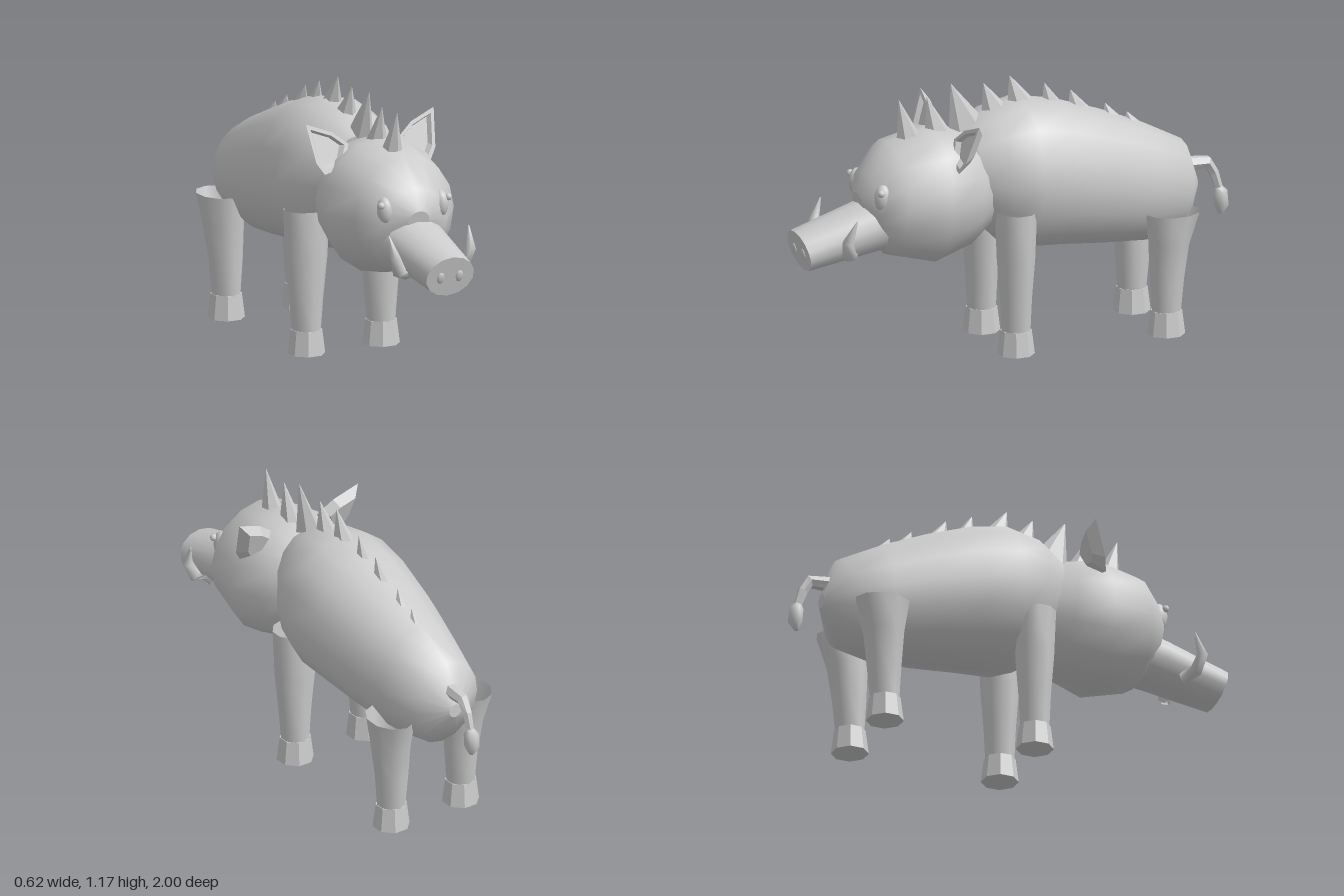
import * as THREE from 'three';

const V = (x, y, z) => new THREE.Vector3(x, y, z);
const smooth = new THREE.MeshStandardMaterial({ color: 0xcccccc, side: THREE.DoubleSide });
const flat = new THREE.MeshStandardMaterial({ color: 0xcccccc, side: THREE.DoubleSide, flatShading: true });

function build(positions, index) {
  const geo = new THREE.BufferGeometry();
  geo.setAttribute('position', new THREE.Float32BufferAttribute(positions, 3));
  geo.setIndex(index);
  geo.computeVertexNormals();
  return geo;
}

// Skin over elliptical rings [centre, u, v]; u x v points against the ring order.
function loft(rings, sides, capStart = false, capEnd = false) {
  const pos = [], idx = [];
  for (const [c, u, v] of rings) {
    for (let j = 0; j < sides; j++) {
      const a = (j / sides) * Math.PI * 2;
      const p = c.clone().addScaledVector(u, Math.sin(a)).addScaledVector(v, Math.cos(a));
      pos.push(p.x, p.y, p.z);
    }
  }
  for (let i = 0; i < rings.length - 1; i++) {
    for (let j = 0; j < sides; j++) {
      const k = (j + 1) % sides, a = i * sides, b = a + sides;
      idx.push(a + j, a + k, b + j, a + k, b + k, b + j);
    }
  }
  // caps use their own vertices so that their rims stay sharp
  const cap = (r, flip) => {
    const start = pos.length / 3;
    for (let j = 0; j < sides; j++) {
      const o = (r * sides + j) * 3;
      pos.push(pos[o], pos[o + 1], pos[o + 2]);
    }
    for (let j = 1; j < sides - 1; j++) {
      idx.push(start, start + (flip ? j : j + 1), start + (flip ? j + 1 : j));
    }
  };
  if (capStart) cap(0, false);
  if (capEnd) cap(rings.length - 1, true);
  return build(pos, idx);
}

// Ring of a trunk section, from its top and bottom points and half width.
const section = ([zt, yt, zb, yb, w]) =>
  [V(0, (yt + yb) / 2, (zt + zb) / 2), V(w, 0, 0), V(0, (yt - yb) / 2, (zt - zb) / 2)];

// Tapered tube through points with a radius at each.
function taper(points, radii, sides) {
  const rings = points.map((p, i) => {
    const d = points[Math.min(i + 1, points.length - 1)].clone()
      .sub(points[Math.max(i - 1, 0)]).normalize();
    const u = d.clone().cross(Math.abs(d.x) > 0.8 ? V(0, 1, 0) : V(1, 0, 0)).normalize();
    const v = u.clone().cross(d);
    return [p, u.multiplyScalar(radii[i]), v.multiplyScalar(radii[i])];
  });
  return loft(rings, sides, true, true);
}

export function createModel() {
  const model = new THREE.Group();
  const add = (name, geo, mat = smooth) => {
    const mesh = new THREE.Mesh(geo, mat);
    mesh.name = name;
    model.add(mesh);
    return mesh;
  };

  // trunk: each section is zTop, yTop, zBottom, yBottom, half width
  add('body', loft([
    [0.23, 0.97, 0.15, 0.53, 0.18],
    [0.12, 1.04, 0.07, 0.45, 0.25],
    [-0.04, 1.07, -0.02, 0.415, 0.285],
    [-0.2, 1.04, -0.18, 0.405, 0.277],
    [-0.4, 0.97, -0.38, 0.385, 0.25],
    [-0.6, 0.885, -0.58, 0.37, 0.21],
    [-0.78, 0.79, -0.75, 0.4, 0.17],
    [-0.845, 0.62, -0.845, 0.56, 0.03],
  ].map(section), 16, true, true));

  add('head', loft([
    [0.715, 0.74, 0.7, 0.66, 0.05],
    [0.68, 0.83, 0.65, 0.53, 0.16],
    [0.57, 0.95, 0.59, 0.455, 0.24],
    [0.38, 0.988, 0.4, 0.405, 0.287],
    [0.25, 0.965, 0.22, 0.46, 0.235],
    [0.16, 0.9, 0.13, 0.53, 0.17],
  ].map(section), 16, true, true));

  add('snout', loft([
    [1.0, 0.605, 0.955, 0.43, 0.115],
    [0.72, 0.69, 0.68, 0.475, 0.142],
    [0.56, 0.735, 0.52, 0.5, 0.155],
  ].map(section), 14, true));

  // parts in mirrored pairs
  for (const s of [1, -1]) {
    const side = s > 0 ? 'left' : 'right';

    const nostril = add(side + 'Nostril', new THREE.SphereGeometry(1, 8, 6));
    nostril.scale.set(0.018, 0.026, 0.008);
    nostril.position.set(s * 0.045, 0.515, 0.977);
    nostril.rotation.x = 0.25;

    const eye = add(side + 'Eye', new THREE.SphereGeometry(1, 12, 8));
    eye.scale.set(0.034, 0.06, 0.04);
    eye.position.set(s * 0.135, 0.745, 0.65);
    const pupil = add(side + 'Pupil', new THREE.SphereGeometry(0.016, 8, 6));
    pupil.position.set(s * 0.162, 0.775, 0.672);

    add(side + 'Tusk', taper([
      V(s * 0.1, 0.5, 0.78), V(s * 0.155, 0.52, 0.815),
      V(s * 0.182, 0.585, 0.832), V(s * 0.192, 0.675, 0.795),
    ], [0.028, 0.03, 0.024, 0.003], 6));

    // ear: rim with a hollow front and a bulging back
    const rim = [[0.308, 1.06], [0.19, 1.015], [0.12, 0.96], [0.16, 0.87], [0.255, 0.85], [0.287, 0.9]];
    const earRing = (k, dz) => rim.map(([x, y]) => {
      const px = 0.22 + (x - 0.22) * k, py = 0.945 + (y - 0.945) * k;
      return [s * px, py, 0.285 + (1.06 - py) * 0.33 + dz];
    });
    const pos = [...earRing(1, 0), ...earRing(0.8, 0), ...earRing(0.65, -0.02), ...earRing(0.6, -0.045)].flat();
    const idx = [];
    const tri = (a, b, c) => (s > 0 ? idx.push(a, b, c) : idx.push(a, c, b));
    for (let j = 0; j < 6; j++) {
      const k = (j + 1) % 6;
      for (const r of [0, 6]) {
        tri(r + j, r + k, r + 6 + j);
        tri(r + k, r + 6 + k, r + 6 + j);
      }
      tri(j, 18 + j, k);
      tri(k, 18 + j, 18 + k);
      if (j > 0 && j < 5) {
        tri(12, 12 + j, 12 + k);
        tri(18, 18 + k, 18 + j);
      }
    }
    add(side + 'Ear', build(pos, idx), flat);

    // legs are open at the top; each row is x, y, z, x radius, z radius
    const legs = {
      FrontLeg: [[0.182, 0.63, 0.06, 0.1, 0.088], [0.18, 0.42, 0.06, 0.093, 0.08],
        [0.18, 0.25, 0.06, 0.075, 0.068], [0.18, 0.1, 0.06, 0.062, 0.063]],
      HindLeg: [[0.2, 0.54, -0.652, 0.097, 0.122], [0.188, 0.4, -0.64, 0.088, 0.088],
        [0.18, 0.25, -0.635, 0.073, 0.075], [0.18, 0.1, -0.632, 0.062, 0.063]],
    };
    for (const [name, rows] of Object.entries(legs)) {
      add(side + name, loft(rows.map(([x, y, z, rx, rz]) =>
        [V(s * x, y, z), V(rx, 0, 0), V(0, 0, -rz)]), 10));
      const hoof = add(side + name + 'Hoof', new THREE.CylinderGeometry(0.067, 0.08, 0.105, 8), flat);
      hoof.position.set(s * 0.18, 0.0525, rows[3][2]);
      hoof.rotation.y = Math.PI / 8;
    }
  }

  // tail with a tuft
  add('tail', taper([V(0, 0.675, -0.8), V(0, 0.67, -0.9), V(0, 0.62, -0.93), V(0, 0.53, -0.96)],
    [0.033, 0.027, 0.022, 0.016], 6), flat);
  add('tailTuft', taper([V(0, 0.555, -0.95), V(0, 0.53, -0.96), V(0, 0.475, -0.965), V(0, 0.435, -0.96)],
    [0.016, 0.033, 0.033, 0.01], 8));

  // spines along the back: z front, z back, y front, y back, tip y
  [[0.53, 0.42, 0.95, 0.97, 1.125], [0.4, 0.28, 0.98, 0.97, 1.12], [0.29, 0.14, 0.95, 1.02, 1.165],
    [0.14, 0.02, 1.02, 1.05, 1.15], [0.02, -0.12, 1.05, 1.045, 1.168], [-0.14, -0.25, 1.045, 1.01, 1.115],
    [-0.26, -0.39, 1.01, 0.965, 1.07], [-0.42, -0.53, 0.955, 0.91, 0.99], [-0.52, -0.64, 0.91, 0.86, 0.94],
  ].forEach(([zf, zb, yf, yb, tip], i) => {
    const len = zf - zb, w = i < 5 ? 0.042 : 0.03;
    const base = [V(0, (yf + yb) / 2 - 0.015, (zf + zb) / 2), V(w, 0, 0), V(0, (yb - yf) / 2, -len / 2)];
    const top = [V(0, tip, zf - 0.01), V(0.001, 0, 0), V(0, 0, -0.001)];
    add('backSpine' + (i + 1), loft([top, base], 6), flat);
  });

  return model;
}
